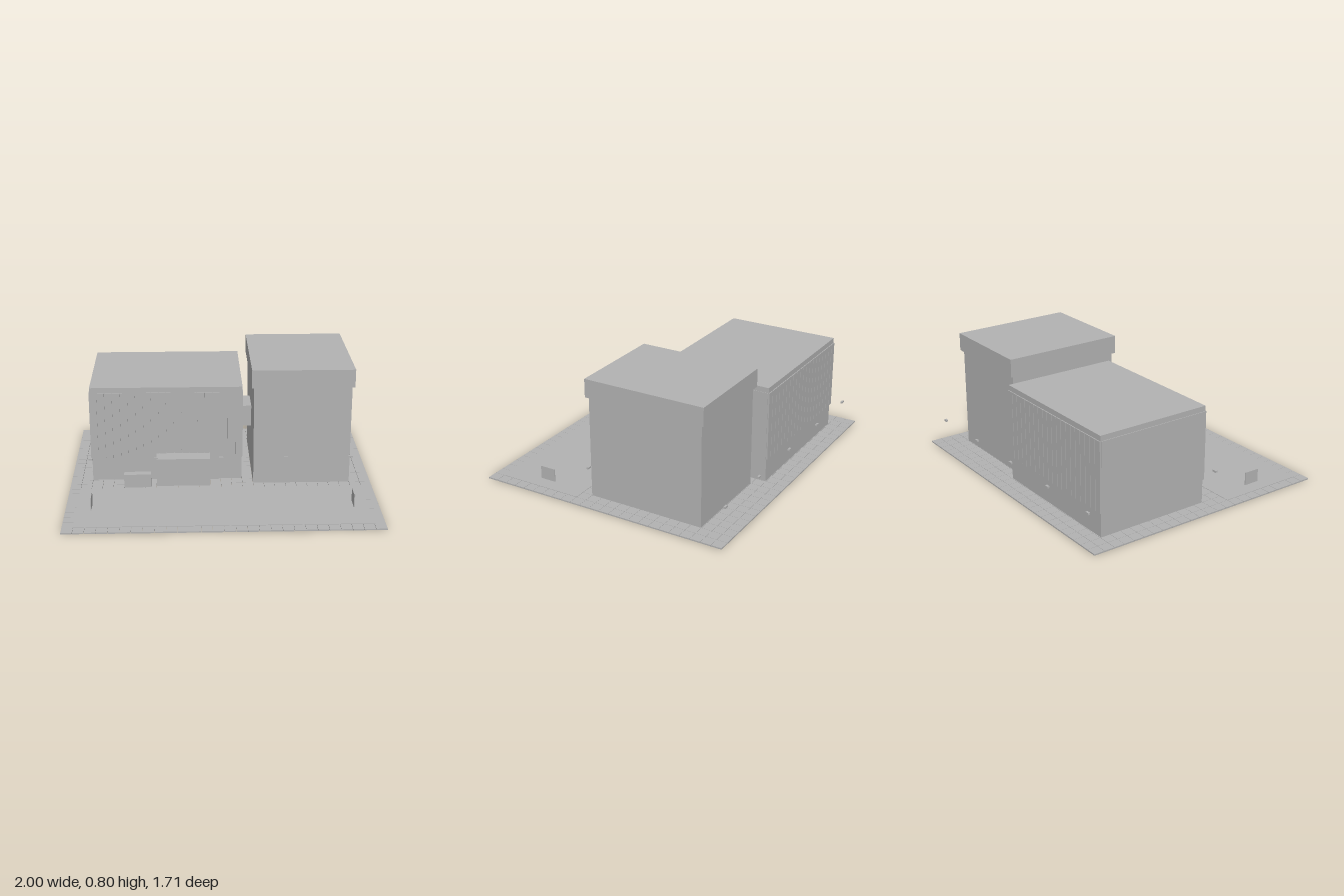
import * as THREE from 'three';
import { mergeGeometries } from 'three/addons/utils/BufferGeometryUtils.js';

const concrete = new THREE.MeshStandardMaterial({ color: 0xb2b2b2 });
concrete.name = 'concreteGrey';

// Box geometry given by its minimum and maximum corners
function span(x0, x1, y0, y1, z0, z1) {
  return new THREE.BoxGeometry(x1 - x0, y1 - y0, z1 - z0)
    .translate((x0 + x1) / 2, (y0 + y1) / 2, (z0 + z1) / 2);
}

export function createModel() {
  const model = new THREE.Group();
  model.name = 'civicBuilding';

  function add(parent, name, geometry) {
    const mesh = new THREE.Mesh(geometry, concrete);
    mesh.name = name;
    parent.add(mesh);
    return mesh;
  }
  function group(name) {
    const g = new THREE.Group();
    g.name = name;
    model.add(g);
    return g;
  }

  // Paved ground: square tiles with hairline joints
  const columns = 28, rows = 24, halfDepth = 0.858, gap = 0.001;
  const w = 2 / columns, d = (2 * halfDepth) / rows;
  const tiles = [];
  for (let i = 0; i < columns; i++) {
    for (let j = 0; j < rows; j++) {
      const x = -1 + i * w, z = -halfDepth + j * d;
      tiles.push(span(x + gap, x + w - gap, 0, 0.009, z + gap, z + d - gap));
    }
  }
  const ground = group('ground');
  add(ground, 'pavingTiles', mergeGeometries(tiles));
  add(ground, 'forecourt', span(-0.93, 0.93, 0.004, 0.012, 0.213, 0.787));

  // Low hall with a slatted facade on front and back
  const hall = group('hall');
  add(hall, 'hallBody', span(-0.857, 0.141, 0.005, 0.63, -0.71, 0.064));
  add(hall, 'hallRoof', span(-0.86, 0.144, 0.628, 0.663, -0.714, 0.068));
  const slats = [];
  const count = 20, pitch = 1.01 / count;
  for (let i = 0; i < count; i++) {
    const x = -0.864 + i * pitch;
    slats.push(span(x + 0.002, x + pitch - 0.002, 0.168, 0.628, 0.064, 0.073));
    slats.push(span(x + 0.002, x + pitch - 0.002, 0.168, 0.628, -0.72, -0.71));
  }
  add(hall, 'facadeSlats', mergeGeometries(slats));
  add(hall, 'rightSidePanel', span(-0.865, -0.857, 0.168, 0.628, -0.71, 0.064));
  add(hall, 'leftSidePanel', span(0.141, 0.147, 0.168, 0.628, -0.71, 0.064));

  // Tall block with an overhanging cap
  const tower = group('tower');
  add(tower, 'towerBody', span(0.215, 0.856, 0.005, 0.69, -0.64, 0.145));
  add(tower, 'towerCap', span(0.2, 0.871, 0.683, 0.804, -0.66, 0.163));

  // Link between the two blocks
  add(model, 'bridge', span(0.14, 0.217, 0.305, 0.45, -0.36, -0.15));

  // Entrance and low planter in front of the hall
  add(model, 'entrance', span(-0.427, -0.073, 0.005, 0.2, 0.06, 0.178));
  add(model, 'planter', span(-0.642, -0.465, 0.005, 0.1, 0.146, 0.196));

  // Upright panels at both ends of the forecourt
  for (const side of [-1, 1]) {
    add(model, 'signPanel', span(-0.003, 0.003, 0.01, 0.1, 0.447, 0.553)).position.x = side * 0.836;
  }

  // Small lamp heads along the front and back
  const lamps = group('lamps');
  for (const z of [-0.805, 0.163]) {
    for (let i = -2; i <= 2; i++) {
      add(lamps, 'lampHead', new THREE.BoxGeometry(0.028, 0.012, 0.014)).position.set(i * 0.43, 0.2, z);
    }
  }

  return model;
}
